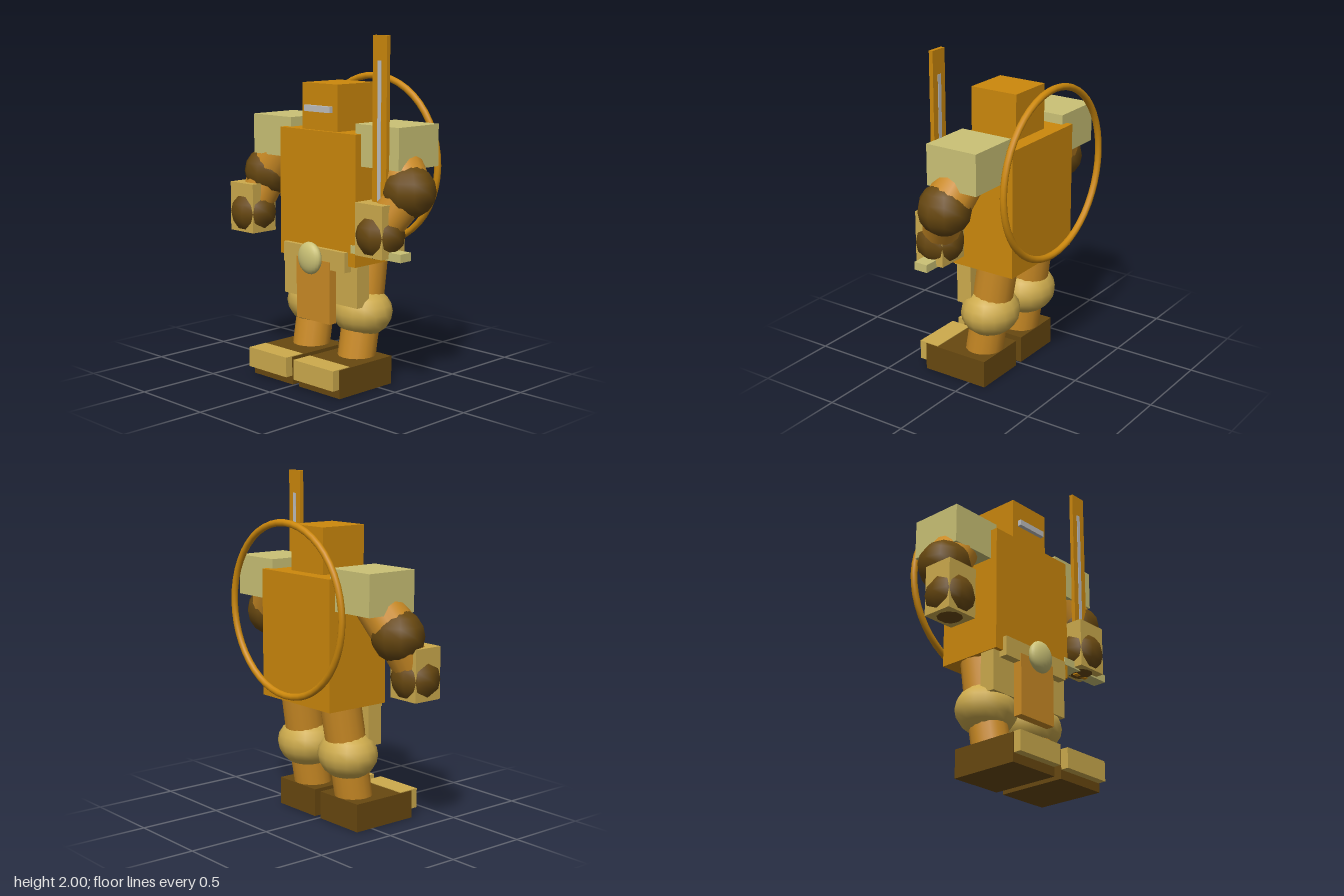
import * as THREE from 'three';

const mat = (name, color) => {
  const m = new THREE.MeshStandardMaterial({ color });
  m.name = name;
  return m;
};

export function createModel() {
  const orange = mat('armour orange', 0xcc880c);
  const amber = mat('limb amber', 0xcb8b25);
  const tan = mat('tan gold', 0xcdab4d);
  const pale = mat('pale khaki', 0xcbc276);
  const brown = mat('dark brown', 0x684810);
  const grey = mat('light grey', 0xc0c0c0);

  const model = new THREE.Group();
  model.name = 'armouredFigure';
  const CX = 0.0145; // middle of the body

  const add = (name, geometry, material) => {
    const mesh = new THREE.Mesh(geometry, material);
    mesh.name = name;
    model.add(mesh);
    return mesh;
  };
  // box given by its limits on each axis
  const box = (name, material, x0, x1, y0, y1, z0, z1) => {
    const mesh = add(name, new THREE.BoxGeometry(x1 - x0, y1 - y0, z1 - z0), material);
    mesh.position.set((x0 + x1) / 2, (y0 + y1) / 2, (z0 + z1) / 2);
    return mesh;
  };
  const ball = (name, material, pos, radii, w = 10, h = 8) => {
    const mesh = add(name, new THREE.SphereGeometry(1, w, h), material);
    mesh.position.set(...pos);
    mesh.scale.set(...radii);
    return mesh;
  };
  // tapered limb running from a to b
  const limb = (name, material, a, b, ra, rb) => {
    const from = new THREE.Vector3(...a), to = new THREE.Vector3(...b);
    const dir = to.clone().sub(from);
    const mesh = add(name, new THREE.CylinderGeometry(rb, ra, dir.length(), 16), material);
    mesh.position.copy(from).add(to).multiplyScalar(0.5);
    mesh.quaternion.setFromUnitVectors(new THREE.Vector3(0, 1, 0), dir.normalize());
    return mesh;
  };

  // torso, head and visor
  box('torso', orange, -0.29, 0.32, 0.71, 1.455, -0.27, 0.14);
  box('head', orange, -0.126, 0.156, 1.44, 1.72, -0.183, 0.117);
  box('visor', grey, -0.085, 0.118, 1.56, 1.595, 0.1, 0.142);

  // belt, buckle and skirt
  box('belt', tan, -0.235, 0.265, 0.675, 0.79, 0.09, 0.168);
  ball('buckle', pale, [CX, 0.73, 0.197], [0.088, 0.094, 0.043], 20, 14);
  box('loincloth', amber, -0.121, 0.151, 0.358, 0.72, 0.12, 0.173);

  // ring behind the back
  const ring = add('backRing', new THREE.TorusGeometry(0.49, 0.02, 10, 48), orange);
  ring.position.set(CX, 1.255, -0.338);

  for (const s of [-1, 1]) {
    const side = s > 0 ? 'left' : 'right';
    const X = (d) => CX + s * d;
    const sideBox = (name, m, a, b, ...rest) =>
      box(side + name, m, Math.min(X(a), X(b)), Math.max(X(a), X(b)), ...rest);

    // shoulder pad and arm
    sideBox('ShoulderPad', pale, 0.26, 0.586, 1.275, 1.51, -0.23, 0.095);
    const elbow = [X(0.567), 1.155, -0.008];
    limb(side + 'UpperArm', amber, elbow, [X(0.39), 1.39, -0.065], 0.133, 0.13);
    ball(side + 'Elbow', brown, elbow, [0.155, 0.15, 0.152]);

    // hand and cuff
    const hx = s > 0 ? 0.478 : -0.597, hz = s > 0 ? 0.107 : 0.085;
    limb(side + 'Forearm', amber, elbow, [hx, 0.93, hz], 0.122, 0.1);
    ball(side + 'Fist', brown, [hx, 0.915, hz], [0.14, 0.138, 0.14]);
    box(side + 'Cuff', tan, hx - 0.101, hx + 0.101, 0.8, 1.095, hz - 0.09, hz + 0.092);

    // hip plate, leg and knee
    sideBox('HipPlate', tan, 0.09, 0.299, 0.47, 0.715, 0.02, 0.116);
    const knee = [X(0.188), 0.415, -0.04];
    limb(side + 'Thigh', amber, knee, [X(0.18), 0.76, -0.095], 0.118, 0.118);
    limb(side + 'Shin', amber, [X(0.188), 0.1, 0.015], knee, 0.11, 0.11);
    ball(side + 'Knee', tan, knee, [0.185, 0.146, 0.168], 16, 10);

    // boot with toe cap
    sideBox('Boot', brown, 0.026, 0.355, 0, 0.164, -0.11, 0.31);
    sideBox('ToeCap', tan, 0.03, 0.349, 0.052, 0.168, 0.228, 0.357);
  }

  // sword held in the left hand
  box('swordBlade', orange, 0.427, 0.531, 0.78, 2, 0.093, 0.118);
  box('swordFuller', grey, 0.465, 0.491, 0.9, 1.865, 0.09, 0.121);
  box('swordGuard', pale, 0.29, 0.665, 0.79, 0.836, 0.06, 0.145);

  return model;
}
